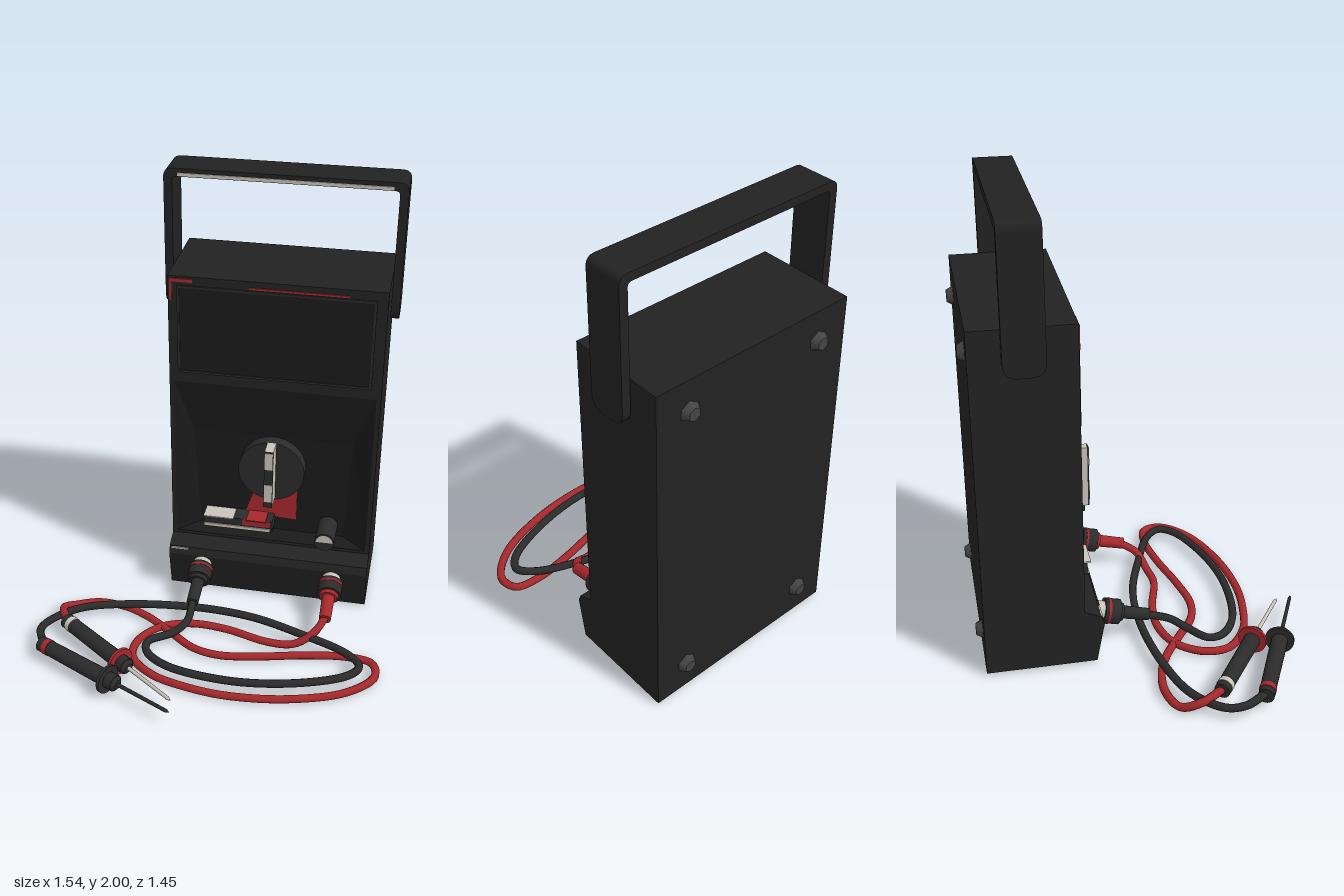
import * as THREE from 'three';

const mat = (name, color, side = THREE.FrontSide) => {
  const m = new THREE.MeshStandardMaterial({ color, side });
  m.name = name;
  return m;
};

export function createModel() {
  const model = new THREE.Group();
  model.name = 'handheldMeter';
  const black = mat('blackPlastic', 0x222222);
  const panelBlack = mat('panelBlack', 0x1b1b1b, THREE.DoubleSide);
  const rubber = mat('darkRubber', 0x2b2b2b);
  const grey = mat('footGrey', 0x444444);
  const red = mat('redPlastic', 0xa5282c);
  const light = mat('lightMetal', 0xc9c3ba);

  const V = (x, y, z) => new THREE.Vector3(x, y, z);
  const add = (name, geo, material, parent = model) => {
    const mesh = new THREE.Mesh(geo, material);
    mesh.name = name;
    parent.add(mesh);
    return mesh;
  };
  // Box given by its minimum and maximum corners
  const box = (name, a, b, material) => {
    const g = new THREE.BoxGeometry(b[0] - a[0], b[1] - a[1], b[2] - a[2]);
    g.translate((a[0] + b[0]) / 2, (a[1] + b[1]) / 2, (a[2] + b[2]) / 2);
    return add(name, g, material);
  };
  // Cylinder or cone running from point a to point b
  const rod = (name, a, b, ra, rb, material, parent = model, sides = 20) => {
    const d = b.clone().sub(a);
    const m = add(name, new THREE.CylinderGeometry(rb, ra, d.length(), sides), material, parent);
    m.position.copy(a).addScaledVector(d, 0.5);
    m.quaternion.setFromUnitVectors(V(0, 1, 0), d.normalize());
    return m;
  };
  const polygon = pts => new THREE.Shape(pts.map(p => new THREE.Vector2(...p)));
  const extrude = (shape, depth) =>
    new THREE.ExtrudeGeometry(shape, { depth, bevelEnabled: false, curveSegments: 8 });
  // Side profile (z, y) extruded across x, ending at x = right
  const sideExtrude = (shape, right, width) => {
    const g = extrude(shape, width);
    g.rotateY(-Math.PI / 2);
    return g.translate(right, 0, 0);
  };

  // Case with a sunken front panel
  box('caseBack', [-0.27, 0.01, -0.7], [0.66, 1.58, -0.32], black);
  const face = polygon([[-0.27, 0.01], [0.66, 0.01], [0.66, 1.58], [-0.27, 1.58]]);
  const rim = [[-0.25, 0.28], [0.64, 0.28], [0.64, 1.08], [-0.25, 1.08]];
  const floor = [[-0.14, 0.32], [0.53, 0.32], [0.55, 0.82], [-0.17, 0.82]];
  face.holes.push(new THREE.Path(rim.map(p => new THREE.Vector2(...p))));
  add('caseFront', extrude(face, 0.05).translate(0, 0, -0.32), black);
  const walls = [];
  for (let i = 0; i < 4; i++) {
    const j = (i + 1) % 4;
    const a = [...rim[i], -0.27], b = [...rim[j], -0.27];
    const c = [...floor[j], -0.31], d = [...floor[i], -0.31];
    walls.push(...a, ...b, ...c, ...a, ...c, ...d);
  }
  const wallGeo = new THREE.BufferGeometry();
  wallGeo.setAttribute('position', new THREE.Float32BufferAttribute(walls, 3));
  wallGeo.computeVertexNormals();
  add('recessWalls', wallGeo, panelBlack);
  add('recessFloor', new THREE.ShapeGeometry(polygon(floor)).translate(0, 0, -0.31), panelBlack);
  const lip = polygon([[-0.3, 0.01], [-0.22, 0.01], [-0.185, 0.2], [-0.2, 0.235], [-0.27, 0.265], [-0.3, 0.265]]);
  add('socketLedge', sideExtrude(lip, 0.66, 0.93), black);

  // Display window with frame and red trim
  const frame = polygon([[-0.23, 1.13], [0.615, 1.13], [0.615, 1.54], [-0.23, 1.54]]);
  frame.holes.push(polygon([[-0.22, 1.14], [0.605, 1.14], [0.605, 1.53], [-0.22, 1.53]]));
  add('displayFrame', extrude(frame, 0.008).translate(0, 0, -0.27), rubber);
  box('displayWindow', [-0.22, 1.14, -0.27], [0.605, 1.53, -0.266], panelBlack);
  box('trimCorner', [-0.262, 1.555, -0.27], [-0.16, 1.57, -0.265], red);
  box('trimSide', [-0.262, 1.47, -0.27], [-0.252, 1.555, -0.265], red);
  box('trimTop', [0.08, 1.545, -0.27], [0.5, 1.553, -0.265], red);

  // Selector dial and pointer
  rod('dial', V(0.195, 0.67, -0.31), V(0.195, 0.67, -0.255), 0.15, 0.15, rubber, model, 40);
  box('dialPointer', [0.175, 0.53, -0.255], [0.215, 0.82, -0.178], light);
  box('pointerCap', [0.175, 0.53, -0.178], [0.215, 0.82, -0.172], rubber);
  box('pointerMarkTop', [0.177, 0.73, -0.172], [0.213, 0.815, -0.169], light);
  box('pointerMarkBottom', [0.177, 0.56, -0.172], [0.213, 0.65, -0.169], light);

  // Red scale field, slide switch and push button
  add('scaleField', extrude(polygon([[0.07, 0.4], [0.31, 0.39], [0.31, 0.55], [0.12, 0.55]]), 0.006)
    .translate(0, 0, -0.31), red);
  box('switchBase', [-0.11, 0.35, -0.31], [0.21, 0.41, -0.23], rubber);
  box('switchLightTop', [-0.11, 0.41, -0.3], [0.03, 0.416, -0.215], light);
  box('switchRedTop', [0.09, 0.41, -0.3], [0.18, 0.416, -0.215], red);
  box('switchStripe', [-0.11, 0.355, -0.23], [0.2, 0.37, -0.225], light);
  box('switchRedFace', [0.07, 0.38, -0.23], [0.2, 0.41, -0.225], red);
  rod('buttonShaft', V(0.46, 0.385, -0.3), V(0.46, 0.385, -0.155), 0.045, 0.045, rubber);
  add('buttonMark', new THREE.CircleGeometry(0.038, 20, 0, Math.PI).translate(0.46, 0.385, -0.153), light);
  box('ledgeMark', [-0.26, 0.225, -0.2], [-0.18, 0.232, -0.192], light);

  // Carrying handle
  const U = new THREE.Shape();
  U.moveTo(-0.31, 1.45);
  U.lineTo(-0.31, 1.96);
  U.quadraticCurveTo(-0.31, 2, -0.27, 2);
  U.lineTo(0.66, 2);
  U.quadraticCurveTo(0.7, 2, 0.7, 1.96);
  U.lineTo(0.7, 1.45);
  U.lineTo(0.664, 1.45);
  U.lineTo(0.664, 1.945);
  U.quadraticCurveTo(0.664, 1.965, 0.644, 1.965);
  U.lineTo(-0.254, 1.965);
  U.quadraticCurveTo(-0.274, 1.965, -0.274, 1.945);
  U.lineTo(-0.274, 1.45);
  add('handle', extrude(U, 0.17).translate(0, 0, -0.57), black);
  const end = new THREE.Shape();
  end.moveTo(-0.4, 1.45);
  end.lineTo(-0.57, 1.45);
  end.quadraticCurveTo(-0.57, 1.39, -0.51, 1.39);
  end.lineTo(-0.46, 1.39);
  end.quadraticCurveTo(-0.4, 1.39, -0.4, 1.45);
  for (const right of [-0.274, 0.7]) add('handleEnd', sideExtrude(end, right, 0.036), black);
  box('handleStrip', [-0.25, 1.968, -0.4], [0.64, 1.982, -0.396], light);
  for (const x of [-0.27, 0.66])
    rod('handlePivot', V(x - 0.012, 1.42, -0.485), V(x + 0.012, 1.42, -0.485), 0.025, 0.025, grey);

  // Rear feet
  for (const x of [-0.127, 0.51])
    for (const y of [0.145, 1.445])
      rod('rearFoot', V(x, y, -0.69), V(x, y, -0.728), 0.05, 0.028, grey, model, 6);

  // Plugs, tilted slightly downwards
  const plug = (name, x, material, band) => {
    const g = new THREE.Group();
    g.name = name;
    model.add(g);
    const at = z => V(x, 0.145 - 0.24 * (z + 0.13), z);
    rod('plugSocket', at(-0.24), at(-0.16), 0.042, 0.042, light, g);
    rod('plugCollar', at(-0.165), at(-0.095), 0.056, 0.056, rubber, g);
    rod('plugBand', at(-0.15), at(-0.14), 0.058, 0.058, band, g);
    rod('plugNeck', at(-0.095), at(-0.08), 0.045, 0.04, material, g);
    rod('plugSleeve', at(-0.08), at(0.04), 0.029, 0.027, material, g);
  };
  plug('blackPlug', -0.11, rubber, red);
  plug('redPlug', 0.5, red, red);

  // Test leads as looped cables; points are (x, z), resting near the ground
  const cable = (name, pts, rest, material) => {
    const n = pts.length;
    const path = pts.map(([x, z], i) => {
      const y = i === 0 ? 0.105 : i === 1 ? 0.07 : i === n - 1 ? 0.068 : i === n - 2 ? 0.06 : rest;
      return V(x, y, z);
    });
    add(name, new THREE.TubeGeometry(new THREE.CatmullRomCurve3(path), 180, 0.018, 8), material);
  };
  cable('redLead', [[0.5, 0.03], [0.46, 0.1], [0.375, 0.135], [0.26, 0.145], [0.06, 0.095], [-0.1, 0.087],
    [-0.235, 0.137], [-0.315, 0.25], [-0.31, 0.36], [-0.2, 0.455], [-0.02, 0.505], [0.15, 0.52],
    [0.4, 0.49], [0.64, 0.4], [0.75, 0.28], [0.73, 0.195], [0.62, 0.175], [0.44, 0.2], [0.23, 0.25],
    [0.06, 0.275], [-0.06, 0.25], [-0.185, 0.165], [-0.31, 0.08], [-0.43, 0.03], [-0.56, 0.02],
    [-0.66, 0.06], [-0.695, 0.14], [-0.64, 0.24]], 0.02, red);
  cable('blackLead', [[-0.11, 0.03], [-0.115, 0.137], [-0.165, 0.2], [-0.26, 0.28], [-0.25, 0.345],
    [-0.145, 0.42], [0.15, 0.46], [0.435, 0.415], [0.64, 0.325], [0.68, 0.26], [0.62, 0.19],
    [0.395, 0.095], [0.17, 0.025], [-0.08, 0.005], [-0.39, 0.04], [-0.62, 0.115], [-0.735, 0.23],
    [-0.75, 0.31], [-0.7, 0.41]], 0.05, rubber);

  // Probes: grip, finger guard and needle
  const probe = (name, a, b, ringMat, guardMat, needleMat) => {
    const g = new THREE.Group();
    g.name = name;
    model.add(g);
    const at = t => a.clone().lerp(b, t);
    rod('probeTail', at(0), at(0.08), 0.034, 0.034, rubber, g);
    rod('probeRing', at(0.04), at(0.075), 0.036, 0.036, ringMat, g);
    rod('probeGrip', at(0.08), at(0.6), 0.034, 0.037, rubber, g);
    rod('probeGuard', at(0.525), at(0.545), 0.064, 0.064, guardMat, g);
    rod('probeNose', at(0.6), at(0.62), 0.034, 0.02, rubber, g);
    rod('probeNeedle', at(0.61), at(0.98), 0.009, 0.008, needleMat, g, 10);
    rod('probePoint', at(0.98), at(1), 0.008, 0.002, needleMat, g, 10);
  };
  probe('redProbe', V(-0.65, 0.068, 0.235), V(-0.07, 0.075, 0.65), light, red, light);
  probe('blackProbe', V(-0.715, 0.065, 0.405), V(-0.06, 0.075, 0.72), red, rubber, rubber);

  return model;
}
